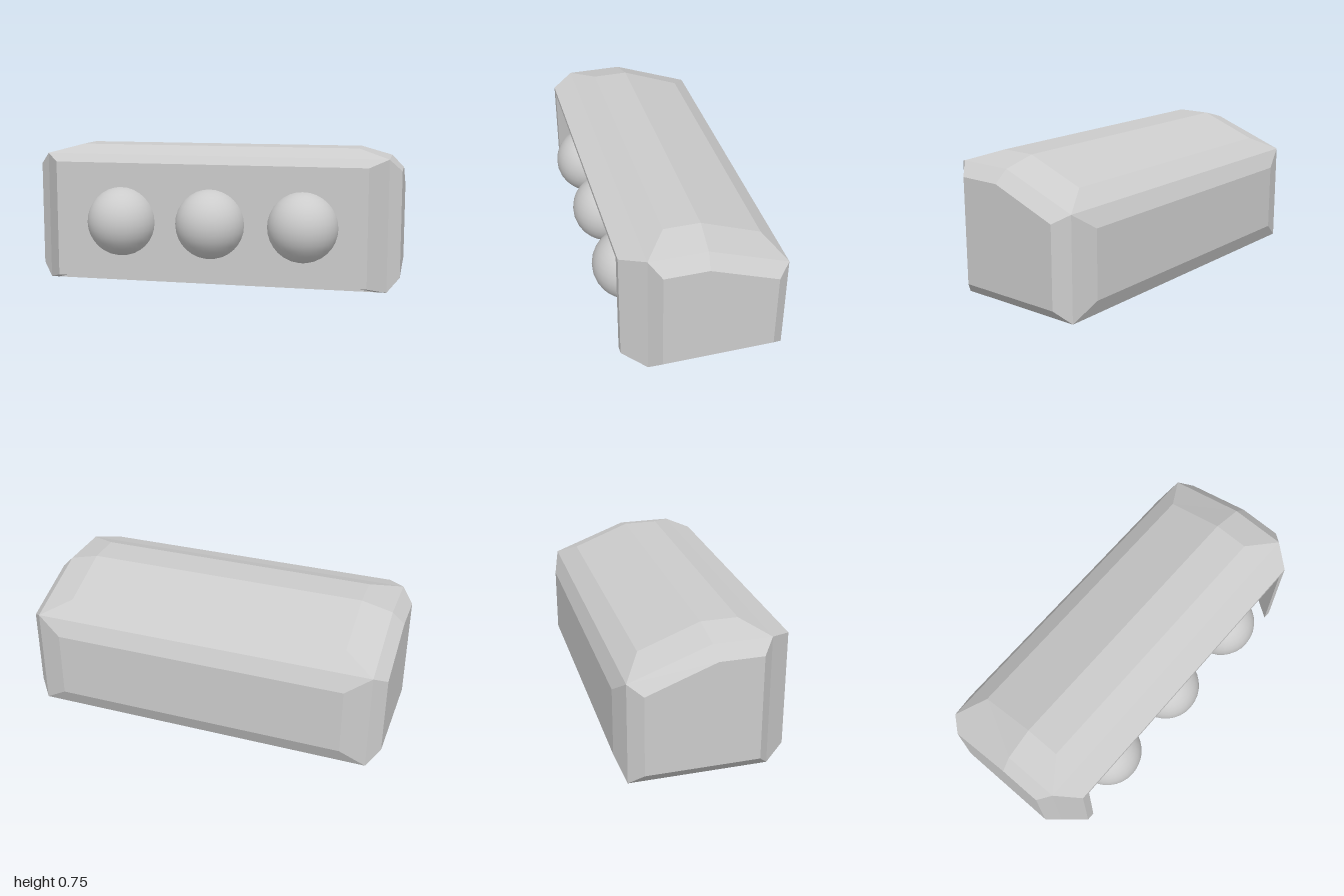
import * as THREE from 'three';

const CENTRE = new THREE.Vector3(0, 0.35, -0.05);

// Flat polygons, each turned away from the body centre (or toward it for inner walls)
function faces(name, list, inward = false) {
  const pos = [];
  for (const pts of list) {
    const v = pts.map(p => new THREE.Vector3(...p));
    for (let i = 1; i < v.length - 1; i++) {
      const [a, b, c] = [v[0], v[i], v[i + 1]];
      const n = b.clone().sub(a).cross(c.clone().sub(a));
      const out = n.dot(a.clone().add(b).add(c).divideScalar(3).sub(CENTRE)) > 0;
      const tri = out !== inward ? [a, b, c] : [a, c, b];
      tri.forEach(p => pos.push(p.x, p.y, p.z));
    }
  }
  const geo = new THREE.BufferGeometry();
  geo.setAttribute('position', new THREE.Float32BufferAttribute(pos, 3));
  geo.computeVertexNormals();
  const mesh = new THREE.Mesh(geo, new THREE.MeshStandardMaterial({ color: 0xcccccc, flatShading: true }));
  mesh.name = name;
  return mesh;
}

const flip = p => [-p[0], p[1], p[2]];
const both = list => [...list, ...list.map(f => f.map(flip))]; // mirrored pair of faces
const span = (a, b) => [a, b, flip(b), flip(a)];               // face across the full width
const section = (x, yz) => yz.map(([y, z]) => [x, y, z]);

export function createModel() {
  const group = new THREE.Group();

  // Side cross-sections: end cap, widest ring, roof crest, back plate, front rim
  const cap = section(1, [[0.07, 0.23], [0.635, 0.23], [0.635, 0], [0.5, -0.36], [0.07, -0.36]]);
  const ring = section(0.935, [[0, 0.29], [0.7, 0.29], [0.7, -0.01], [0.545, -0.43], [0, -0.43]]);
  const crest = section(0.77, [[0.745, 0.17], [0.745, -0.02], [0.625, -0.335]]);
  const back = section(0.8, [[0.455, -0.47], [0.09, -0.47]]);
  const rim = section(0.84, [[0.04, 0.41], [0.665, 0.41]]);
  const lip = section(0.795, [[0.04, 0.41], [0.64, 0.41]]);
  const inner = section(0.89, [[0, 0.29], [0.675, 0.29]]);

  // End caps with their chamfers
  const bevels = cap.map((p, i) => [p, cap[(i + 1) % 5], ring[(i + 1) % 5], ring[i]]);
  group.add(faces('endCaps', both([cap, ...bevels])));

  // Roof
  group.add(faces('roof', [
    span(ring[1], crest[0]), span(crest[0], crest[1]),
    span(crest[1], crest[2]), span(crest[2], ring[3]),
    ...both([
      [ring[1], ring[2], crest[1], crest[0]],
      [ring[2], ring[3], crest[2], crest[1]],
    ]),
  ]));

  // Back plate with chamfers
  group.add(faces('back', [
    span(ring[3], back[0]), span(back[0], back[1]), span(back[1], ring[4]),
    ...both([[ring[3], ring[4], back[1], back[0]]]),
  ]));

  group.add(faces('base', [span(ring[0], ring[4])]));

  // Front hood: slanted outside, thin rim, undersides of the posts
  group.add(faces('frontHood', [
    span(ring[1], rim[1]), span(rim[1], lip[1]),
    ...both([
      [ring[0], ring[1], rim[1], rim[0]],
      [rim[0], rim[1], lip[1], lip[0]],
      [ring[0], rim[0], lip[0], inner[0]],
    ]),
  ]));
  group.add(faces('hoodLining', [
    span(lip[1], inner[1]),
    ...both([[lip[0], lip[1], inner[1], inner[0]]]),
  ], true));

  // Recessed panel
  group.add(faces('frontPanel', [span(inner[0], inner[1])]));

  // Three round lamps set into the panel
  const lampGeo = new THREE.SphereGeometry(0.19, 32, 16);
  for (const x of [-0.515, -0.015, 0.49]) {
    const lamp = new THREE.Mesh(lampGeo, new THREE.MeshStandardMaterial({ color: 0xcccccc }));
    lamp.name = 'lamp';
    lamp.position.set(x, 0.33, 0.28);
    group.add(lamp);
  }
  return group;
}
